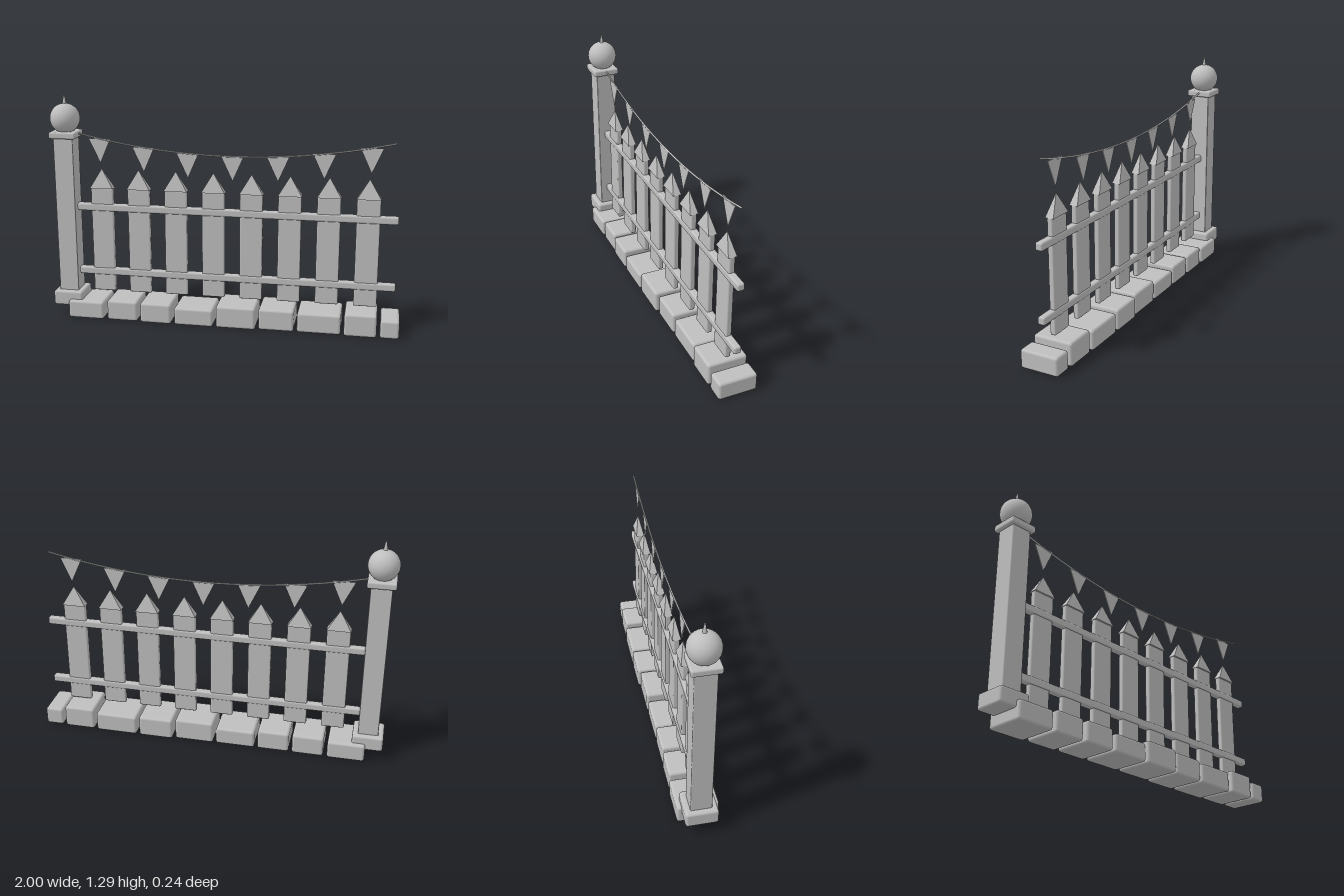
import * as THREE from 'three';
import { RoundedBoxGeometry } from 'three/addons/geometries/RoundedBoxGeometry.js';

const grey = new THREE.MeshStandardMaterial({ color: 0xbfbfbf });
grey.name = 'stone grey';

export function createModel() {
  const model = new THREE.Group();
  model.name = 'fence';

  const add = (name, geometry, x, y, z = 0) => {
    const mesh = new THREE.Mesh(geometry, grey);
    mesh.name = name;
    mesh.position.set(x, y, z);
    model.add(mesh);
    return mesh;
  };
  // Rounded block given by its x and y limits, depth and bevel
  const block = (name, x0, x1, y0, y1, depth, bevel, z = 0) =>
    add(name, new RoundedBoxGeometry(x1 - x0, y1 - y0, depth, 2, bevel), (x0 + x1) / 2, (y0 + y1) / 2, z);

  // Foundation stones: left edge, right edge, height, depth, z offset
  [
    [-0.904, -0.693, 0.108, 0.225, 0],
    [-0.671, -0.492, 0.121, 0.217, 0.001],
    [-0.473, -0.292, 0.121, 0.222, 0.006],
    [-0.273, -0.048, 0.105, 0.222, 0.006],
    [-0.03, 0.195, 0.131, 0.224, 0.005],
    [0.212, 0.412, 0.126, 0.224, -0.006],
    [0.43, 0.674, 0.118, 0.222, -0.006],
    [0.692, 0.872, 0.134, 0.226, 0.001],
    [0.89, 0.995, 0.108, 0.219, 0.002],
  ].forEach(([x0, x1, h, d, z]) => block('foundationStone', x0, x1, 0.003, h, d, 0.015, z));

  // Post with base, cap, ball and spike
  const px = -0.913;
  block('postBase', px - 0.087, px + 0.087, 0.067, 0.155, 0.175, 0.014);
  block('postShaft', px - 0.057, px + 0.057, 0.14, 1.065, 0.115, 0.005);
  block('postCap', px - 0.077, px + 0.077, 1.052, 1.09, 0.153, 0.01);
  add('postBall', new THREE.SphereGeometry(0.085, 32, 24), px, 1.16);
  add('postSpike', new THREE.CylinderGeometry(0.004, 0.013, 0.055, 12), px, 1.263);

  // Pickets with pyramid points
  const tip = new THREE.ConeGeometry(Math.SQRT1_2, 1, 4, 1).rotateY(Math.PI / 4).toNonIndexed();
  tip.computeVertexNormals();
  tip.scale(0.134, 0.112, 0.048);
  for (let i = 0; i < 8; i++) {
    const x = -0.708 + i * 0.2155;
    block('picket', x - 0.065, x + 0.065, 0.15, 0.768, 0.032, 0.008);
    add('picketPoint', tip, x, 0.821);
  }

  // Rails
  for (const y of [0.268, 0.652]) block('rail', -0.857, 0.965, y - 0.022, y + 0.022, 0.042, 0.011);

  // Sagging bunting cord
  const cordY = (x) => 0.973 + 0.102 * ((x - 0.05) / 0.885) ** 2;
  const points = [];
  for (let i = 0; i <= 12; i++) {
    const x = -0.85 + (1.785 * i) / 12;
    points.push(new THREE.Vector3(x, cordY(x), 0));
  }
  add('buntingCord', new THREE.TubeGeometry(new THREE.CatmullRomCurve3(points), 48, 0.005, 8), 0, 0);

  // Triangular flags
  const outline = new THREE.Shape([
    new THREE.Vector2(-0.063, 0),
    new THREE.Vector2(0.002, -0.139),
    new THREE.Vector2(0.063, 0),
  ]);
  const flag = new THREE.ExtrudeGeometry(outline, { depth: 0.006, bevelEnabled: false }).translate(0, 0, -0.003);
  for (let i = 0; i < 7; i++) {
    const x = -0.715 + i * 0.2533;
    add('buntingFlag', flag, x, cordY(x));
  }

  return model;
}
